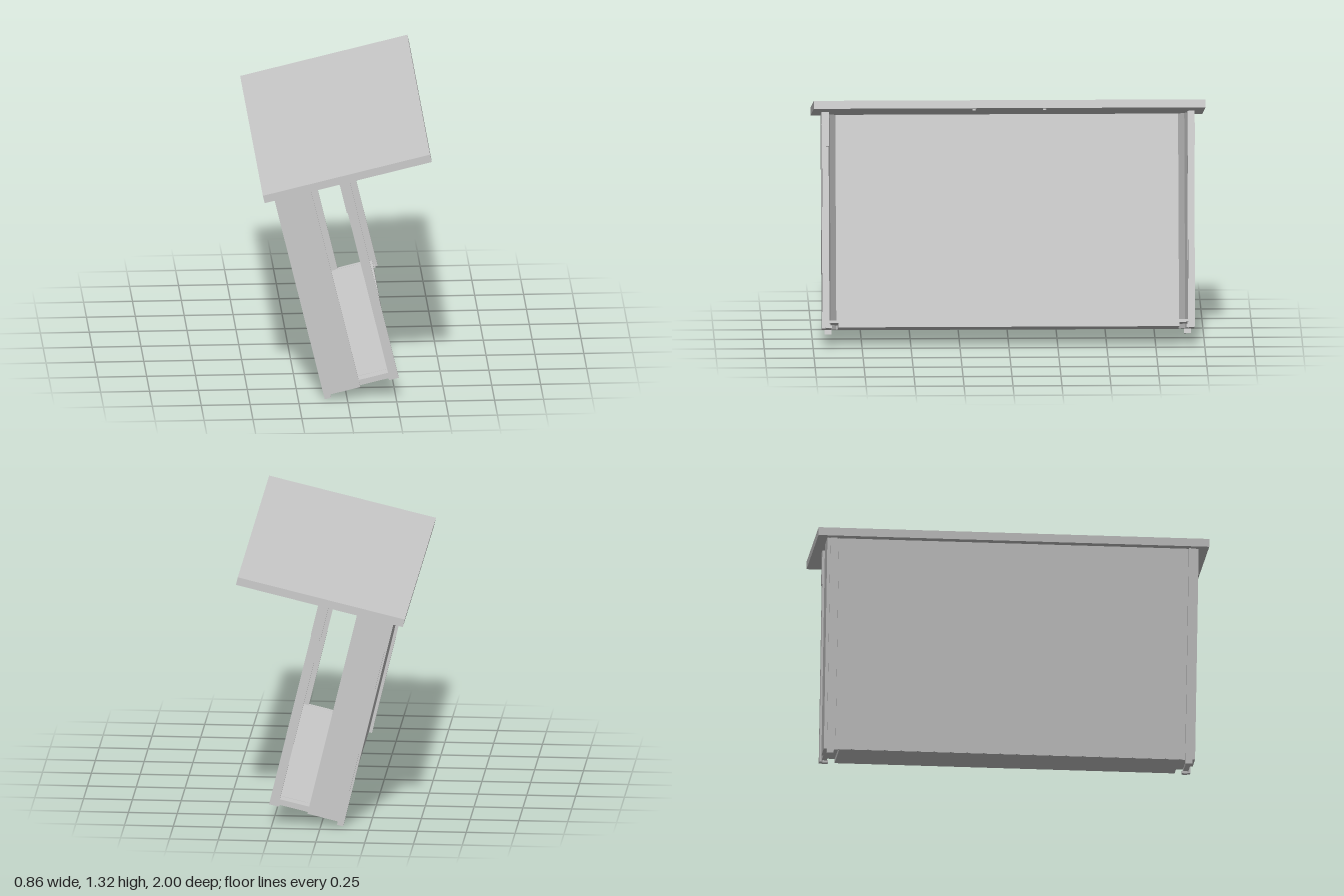
import * as THREE from 'three';

// Local frame: x = depth of the desk, y = up its legs, z = along its length.
const TILT = Math.atan2(0.233, 0.972);
const UNDERSIDE = 1.149;
const material = new THREE.MeshStandardMaterial({ color: 0xcccccc, flatShading: true });

export function createModel() {
  const model = new THREE.Group();
  model.name = 'tiltedDesk';
  const desk = new THREE.Group();
  desk.name = 'desk';
  desk.rotation.z = TILT;
  model.add(desk);

  const add = (name, geometry) => {
    const mesh = new THREE.Mesh(geometry, material);
    mesh.name = name;
    desk.add(mesh);
    return mesh;
  };
  // Box given by its extents on each axis
  const box = (name, x0, x1, y0, y1, z0, z1) => {
    const mesh = add(name, new THREE.BoxGeometry(x1 - x0, y1 - y0, Math.abs(z1 - z0)));
    mesh.position.set((x0 + x1) / 2, (y0 + y1) / 2, (z0 + z1) / 2);
  };
  // Upright prism with a footprint of [x, z] points
  const prism = (name, points, y0, y1) => {
    const shape = new THREE.Shape(points.map(([x, z]) => new THREE.Vector2(x, -z)));
    const geometry = new THREE.ExtrudeGeometry(shape, { depth: y1 - y0, bevelEnabled: false });
    geometry.rotateX(-Math.PI / 2);
    add(name, geometry).position.y = y0;
  };

  // Top, back and lower shelf
  box('tabletop', -0.162, 0.717, UNDERSIDE, 1.19, -1, 1);
  box('backPanel', -0.095, -0.065, 0.052, UNDERSIDE, -0.89, 0.89);
  box('shelf', -0.094, 0.262, 0.05, 0.086, -0.87, 0.87);

  for (const s of [1, -1]) {
    const side = s > 0 ? 'left' : 'right';

    // Side panel whose inner face flares toward the open front
    prism(side + 'SidePanel', [
      [-0.1, 0.95], [0.081, 0.95], [0.081, 0.918], [0.01, 0.905],
      [-0.065, 0.875], [-0.085, 0.875], [-0.085, 0.935], [-0.1, 0.935],
    ].map(([x, z]) => [x, z * s]), 0.051, UNDERSIDE);

    // Back post, reaching down past the panel as a foot
    box(side + 'BackPost', -0.111, -0.078, 0.028, UNDERSIDE, s * 0.9, s * 0.935);

    // Front leg with a slightly deeper upper sleeve
    box(side + 'FrontLeg', 0.236, 0.283, 0.05, 0.98, s * 0.917, s * 0.95);
    box(side + 'FrontLegSleeve', 0.231, 0.285, 0.975, UNDERSIDE, s * 0.915, s * 0.953);
    box(side + 'LegFoot', 0.231, 0.27, 0.046, 0.06, s * 0.905, s * 0.935);

    // Rail and corner plate joining shelf, leg and side panel
    box(side + 'EndRail', 0.07, 0.24, 0.057, 0.086, s * 0.912, s * 0.938);
    prism(side + 'CornerPlate', [
      [-0.06, 0.865], [0.262, 0.865], [0.262, 0.917], [0.07, 0.917],
    ].map(([x, z]) => [x, z * s]), 0.072, 0.085);

    // Small screw head under the tabletop
    const screw = add(side + 'Screw', new THREE.CylinderGeometry(0.009, 0.009, 0.008, 10));
    screw.position.set(0.615, UNDERSIDE - 0.003, s * 0.18);
  }
  return model;
}
